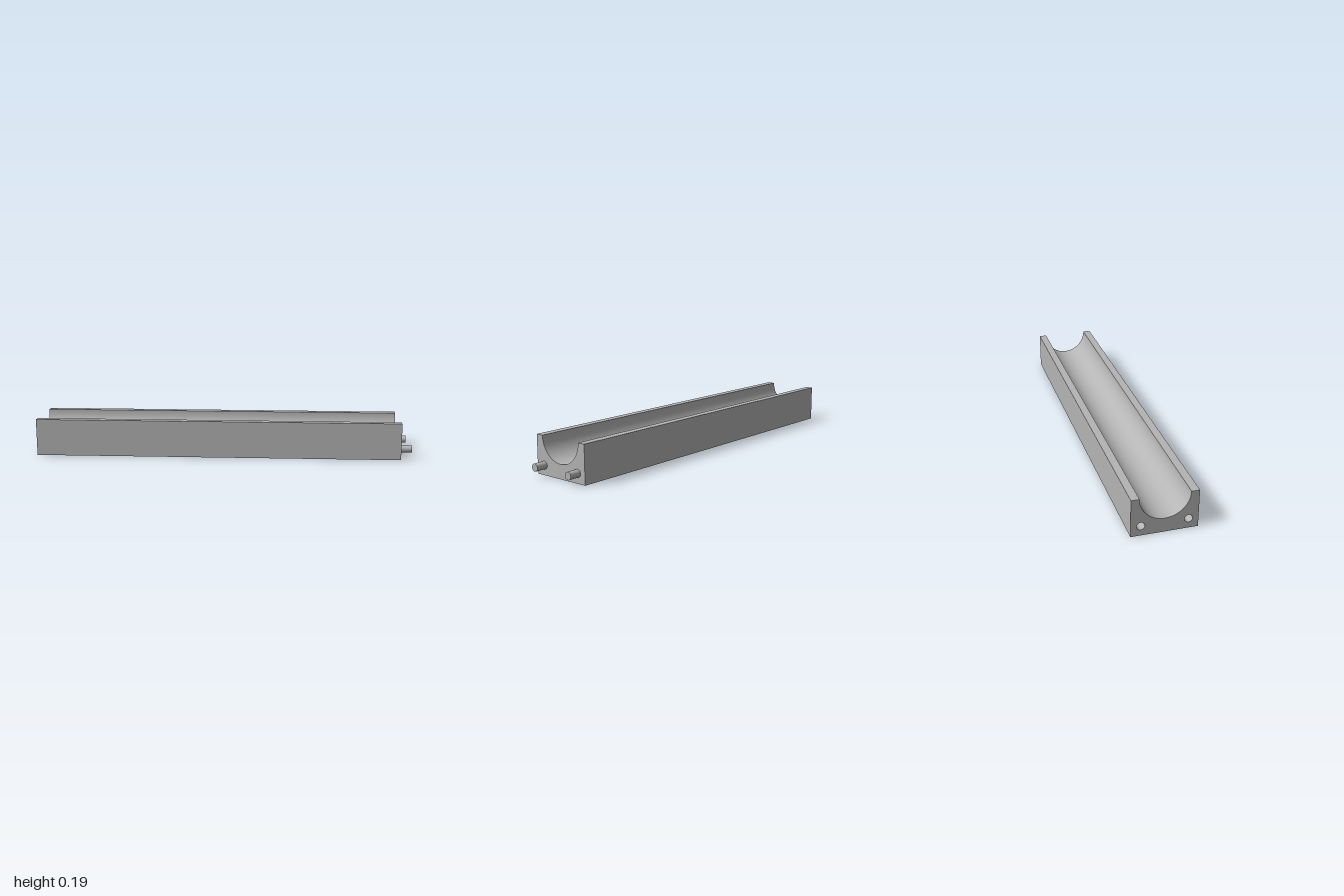
import * as THREE from 'three';
import { mergeGeometries } from 'three/addons/utils/BufferGeometryUtils.js';

const X0 = -1, X1 = 0.94, LEN = X1 - X0, MID = (X0 + X1) / 2;
const W = 0.162, H = 0.195, R = 0.122;          // half width, height, channel radius
const PEG_Y = 0.05, PEG_Z = 0.114, PEG_R = 0.0195;
const HOLE_R = 0.026, HOLE_Z = 0.115, ARC = 48;

const circle = (x, y, r) => new THREE.Path().absarc(x, y, r, 0, Math.PI * 2, true);

// End profile: a block with a half-round channel cut from the top
function endShape() {
  const s = new THREE.Shape();
  s.moveTo(-W, 0);
  s.lineTo(W, 0);
  s.lineTo(W, H);
  s.lineTo(R, H);
  s.absarc(0, H, R, 0, Math.PI, true);
  s.lineTo(-W, H);
  s.closePath();
  return s;
}

// Blind hole opening at y = 0 and running up, faces turned inward
function pocket(r, depth) {
  const wall = new THREE.LatheGeometry([new THREE.Vector2(r, depth), new THREE.Vector2(r, 0)], ARC);
  const floor = new THREE.CircleGeometry(r, ARC).rotateX(Math.PI / 2).translate(0, depth, 0);
  return mergeGeometries([wall, floor]);
}

export function createModel() {
  const model = new THREE.Group();
  model.name = 'channelRail';
  const grey = new THREE.MeshStandardMaterial({ color: 0xb4b4b4 });
  grey.name = 'grey';
  const add = (name, geometry) => {
    const mesh = new THREE.Mesh(geometry, grey);
    mesh.name = name;
    model.add(mesh);
    return mesh;
  };

  // Ends: plain on the peg side, two sockets on the other
  add('pegEnd', new THREE.ShapeGeometry(endShape(), ARC).rotateY(Math.PI / 2).translate(X1, 0, 0));
  const socketed = endShape();
  for (const s of [-1, 1]) socketed.holes.push(circle(s * PEG_Z, PEG_Y, PEG_R));
  add('socketEnd', new THREE.ShapeGeometry(socketed, ARC).rotateY(-Math.PI / 2).translate(X0, 0, 0));

  // Underside with three pairs of holes
  const base = new THREE.Shape();
  base.moveTo(X0, -W);
  base.lineTo(X1, -W);
  base.lineTo(X1, W);
  base.lineTo(X0, W);
  base.closePath();
  for (const x of [X0 + 0.1, MID, X1 - 0.1]) {
    for (const s of [-1, 1]) {
      base.holes.push(circle(x, s * HOLE_Z, HOLE_R));
      add('undersideHole', pocket(HOLE_R, 0.07)).position.set(x, 0, s * HOLE_Z);
    }
  }
  add('underside', new THREE.ShapeGeometry(base, ARC).rotateX(Math.PI / 2));

  // Half-round channel
  add('channel', new THREE.LatheGeometry(
    [new THREE.Vector2(R, LEN / 2), new THREE.Vector2(R, -LEN / 2)], ARC, Math.PI, Math.PI
  ).rotateZ(Math.PI / 2).translate(MID, H, 0));

  for (const s of [-1, 1]) {
    // Outer wall and top rim
    add('sideWall', new THREE.PlaneGeometry(LEN, H).rotateY(s > 0 ? 0 : Math.PI))
      .position.set(MID, H / 2, s * W);
    add('topRim', new THREE.PlaneGeometry(LEN, W - R).rotateX(-Math.PI / 2))
      .position.set(MID, H, s * (W + R) / 2);

    // Locating peg and matching socket
    add('peg', new THREE.CylinderGeometry(PEG_R, PEG_R, 1 - X1, ARC).rotateZ(-Math.PI / 2))
      .position.set((1 + X1) / 2, PEG_Y, s * PEG_Z);
    add('pegSocket', pocket(PEG_R, 0.065).rotateZ(-Math.PI / 2))
      .position.set(X0, PEG_Y, s * PEG_Z);
  }
  return model;
}
